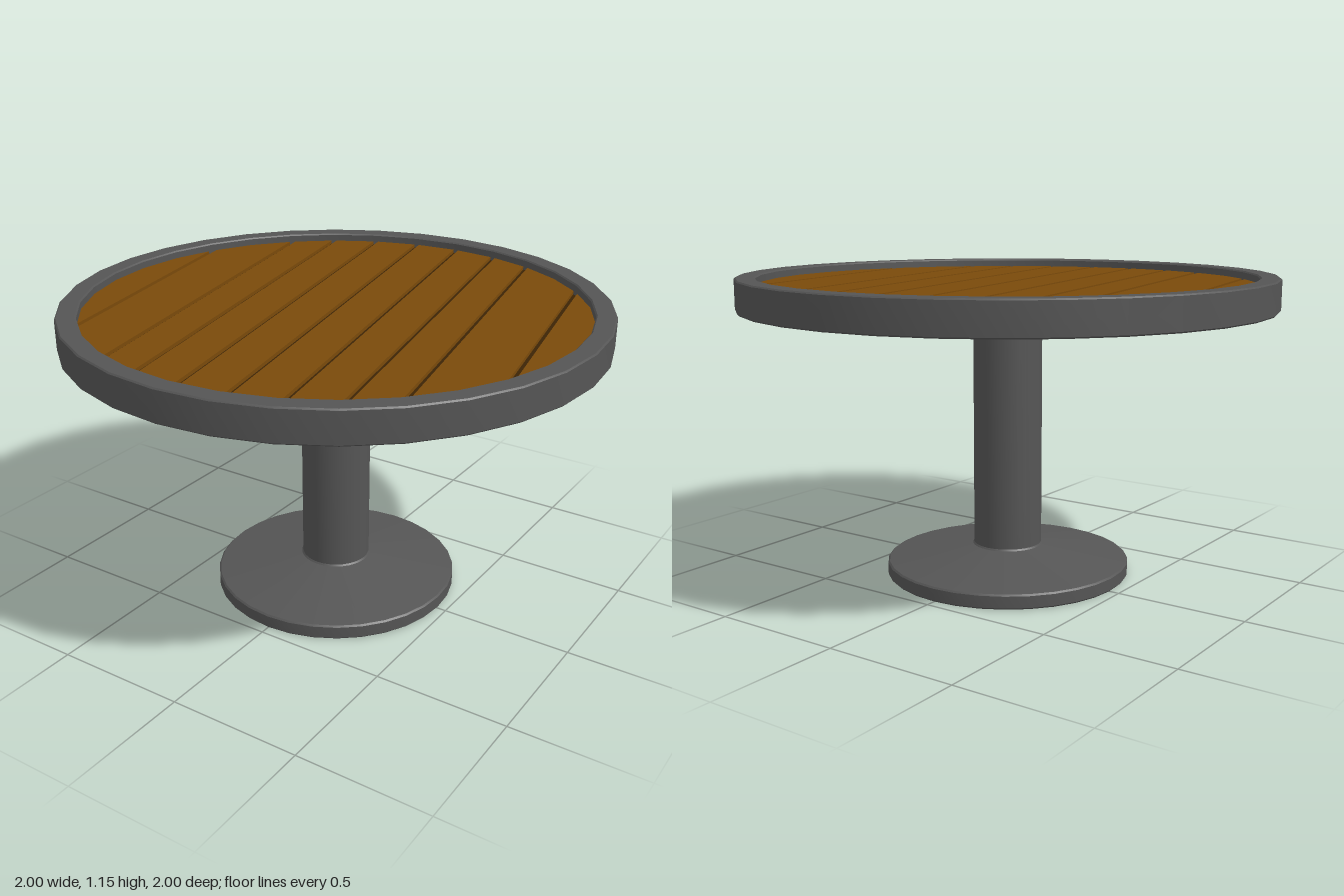
import * as THREE from 'three';
import { toCreasedNormals } from 'three/addons/utils/BufferGeometryUtils.js';

const SEG = 32;
const STEP = (2 * Math.PI) / SEG;
const INNER = 0.925; // inside radius of the rim

const metal = new THREE.MeshStandardMaterial({ color: 0x555555 });
const wood = new THREE.MeshStandardMaterial({ color: 0x7a4a0a });
const darkWood = new THREE.MeshStandardMaterial({ color: 0x3c2405 });

// Turned part from [radius, height] points, smooth around and sharp at its edges
function turned(name, profile, material) {
  const lathe = new THREE.LatheGeometry(profile.map(([r, y]) => new THREE.Vector2(r, y)), SEG);
  const mesh = new THREE.Mesh(toCreasedNormals(lathe, Math.PI / 7), material);
  mesh.name = name;
  return mesh;
}

// Point on the 32-sided outline; m counts corners and may be fractional
function outline(m) {
  const corner = (k) => new THREE.Vector2(Math.cos(k * STEP), Math.sin(k * STEP)).multiplyScalar(INNER);
  const k = Math.floor(m);
  return corner(k).lerp(corner(k + 1), m - k);
}

// Boards cut by parallel grooves that run from corner to corner of the outline
function planks() {
  const group = new THREE.Group();
  group.name = 'planks';
  const cuts = [0, 3, 5, 6, 7, 8, 9, 10, 11, 13, 16];
  const halfGap = 0.01;
  const inset = (m) => (m % 16 === 0 ? 0 : halfGap / (INNER * STEP * Math.sin(m * STEP)));
  for (let i = 0; i < cuts.length - 1; i++) {
    const a = cuts[i] + inset(cuts[i]);
    const b = cuts[i + 1] - inset(cuts[i + 1]);
    const side = [outline(a)];
    for (let k = Math.floor(a) + 1; k < b; k++) side.push(outline(k));
    side.push(outline(b));
    const mirrored = side.map((p) => new THREE.Vector2(p.x, -p.y)).reverse();
    const points = [...side, ...mirrored].filter((p, n, all) => p.distanceTo(all[(n + 1) % all.length]) > 1e-6);
    const board = new THREE.ExtrudeGeometry(new THREE.Shape(points), { depth: 0.02, bevelEnabled: false });
    board.rotateX(-Math.PI / 2);
    const mesh = new THREE.Mesh(board, wood);
    mesh.name = 'plank';
    mesh.position.y = 1.1;
    group.add(mesh);
  }
  group.rotation.y = STEP; // first cut faces one corner off the x axis
  return group;
}

export function createModel() {
  const table = new THREE.Group();
  table.name = 'roundTable';

  // Foot and column in one turned piece
  table.add(turned('pedestal', [
    [0, 0], [0.46, 0], [0.466, 0.006], [0.466, 0.05], [0.46, 0.056],
    [0.135, 0.112], [0.13, 0.118], [0.13, 1.02],
  ], metal));

  // Metal band around the top
  const c = 0.005;
  table.add(turned('rim', [
    [INNER, 1.03 + c], [INNER + c, 1.03], [1 - c, 1.03], [1, 1.03 + c],
    [1, 1.15 - c], [1 - c, 1.15], [INNER + c, 1.15], [INNER, 1.15 - c], [INNER, 1.03 + c],
  ], metal));

  // Shallow cone under the top, groove bottom, and boards
  table.add(turned('underside', [[0, 1.005], [0.13, 1.01], [INNER, 1.06], [INNER, 1.105]], wood));
  table.add(turned('grooveBed', [[INNER, 1.107], [0, 1.107]], darkWood));
  table.add(planks());

  return table;
}
